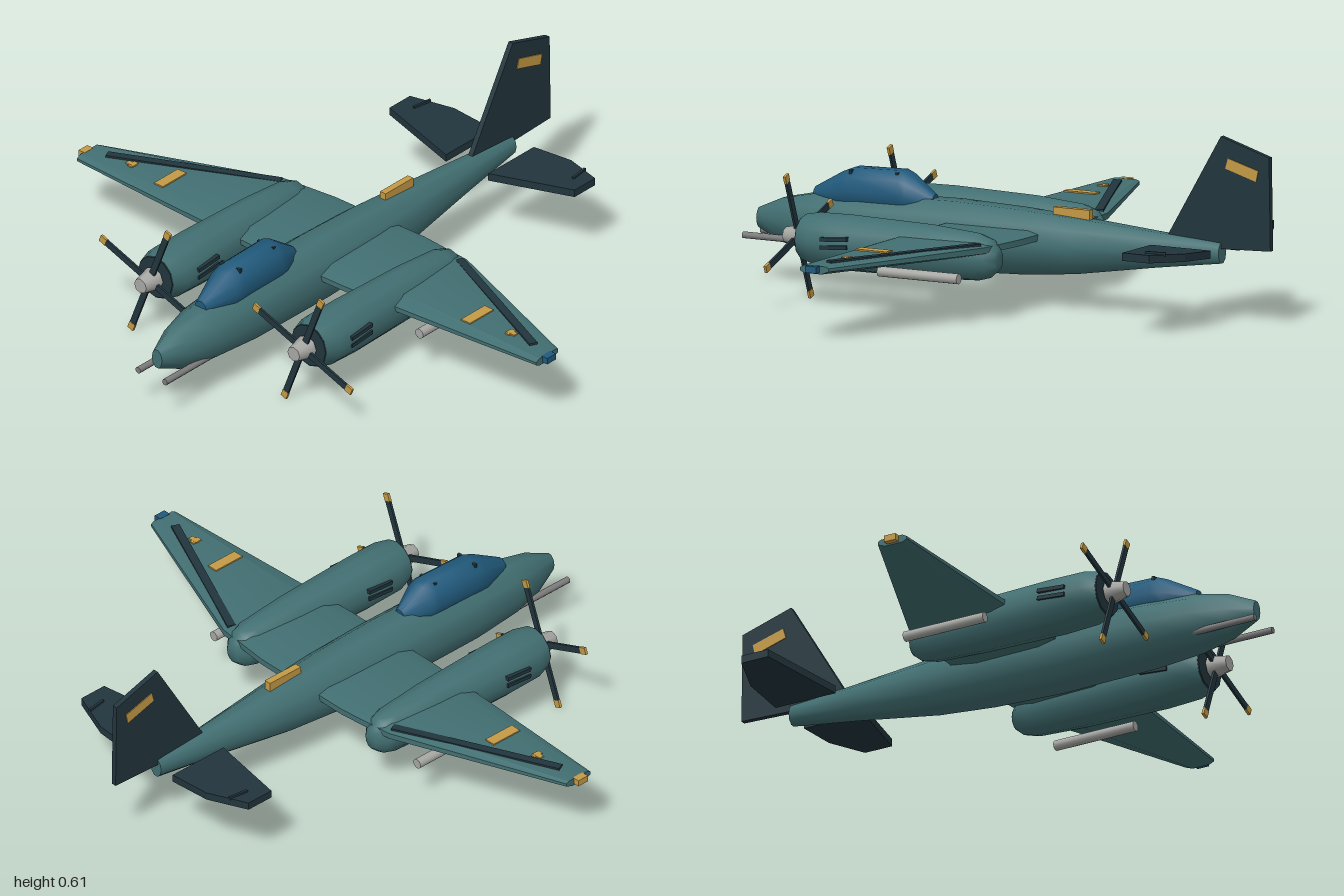
import * as THREE from 'three';
import { toCreasedNormals } from 'three/addons/utils/BufferGeometryUtils.js';

const mat = (name, color) => {
  const m = new THREE.MeshStandardMaterial({ color });
  m.name = name;
  return m;
};

// Closed skin over rings of [x, y, z] points, capped at both ends.
// Rings run counterclockwise as seen from the first end.
function loft(rings, crease) {
  const n = rings[0].length, last = rings.length - 1, pos = rings.flat(2), idx = [];
  for (let i = 0; i < last; i++) {
    for (let j = 0; j < n; j++) {
      const a = i * n + j, b = i * n + (j + 1) % n;
      idx.push(a, a + n, b, b, a + n, b + n);
    }
  }
  for (let j = 1; j < n - 1; j++) {
    idx.push(0, j, j + 1, last * n, last * n + j + 1, last * n + j);
  }
  const g = new THREE.BufferGeometry();
  g.setAttribute('position', new THREE.Float32BufferAttribute(pos, 3));
  g.setIndex(idx);
  return toCreasedNormals(g, crease);
}

// Oval body along z; stations are [z, halfWidth, bottom, top], front first
function body(stations, sides) {
  return loft(stations.map(([z, w, y0, y1]) => Array.from({ length: sides }, (_, j) => {
    const a = (j / sides) * Math.PI * 2;
    return [w * Math.cos(a), (y0 + y1) / 2 + ((y1 - y0) / 2) * Math.sin(a) / Math.sin(Math.PI / 2 - (sides % 4 ? Math.PI / sides : 0)), z];
  })), 0.9);
}

export function createModel() {
  const root = new THREE.Group();
  root.name = 'twinEngineAircraft';
  const teal = mat('teal paint', 0x426f72);
  const dark = mat('dark slate', 0x22353d);
  const gold = mat('gold trim', 0xc49a45);
  const blue = mat('blue glass', 0x215a7c);
  const steel = mat('gun steel', 0x7d7d7d);
  const silver = mat('light metal', 0xa8a8a5);

  const add = (parent, name, geo, material, x = 0, y = 0, z = 0) => {
    const m = new THREE.Mesh(geo, material);
    m.name = name;
    m.position.set(x, y, z);
    parent.add(m);
    return m;
  };
  const box = (w, h, d) => new THREE.BoxGeometry(w, h, d);
  const rod = (r0, r1, len, sides) => new THREE.CylinderGeometry(r0, r1, len, sides).rotateX(Math.PI / 2);

  // Fuselage
  add(root, 'fuselage', body([
    [0.943, 0.022, 0.17, 0.235], [0.85, 0.062, 0.132, 0.275], [0.73, 0.092, 0.112, 0.3],
    [0.55, 0.106, 0.1, 0.315], [0.2, 0.106, 0.095, 0.322], [-0.05, 0.1, 0.105, 0.315],
    [-0.25, 0.084, 0.122, 0.303], [-0.55, 0.05, 0.168, 0.282], [-0.785, 0.025, 0.2, 0.268],
  ], 10), teal);
  add(root, 'dorsalBlock', box(0.024, 0.04, 0.135), gold, 0, 0.312, -0.228);

  // Canopy with frame bars
  add(root, 'canopy', body([
    [0.73, 0.025, 0.27, 0.322], [0.62, 0.064, 0.25, 0.382], [0.58, 0.067, 0.25, 0.398],
    [0.4, 0.067, 0.25, 0.403], [0.37, 0.063, 0.25, 0.39], [0.285, 0.025, 0.27, 0.332],
  ], 10), blue);
  add(root, 'frontCanopyFrame', box(0.084, 0.03, 0.01), dark, 0, 0.378, 0.58);
  add(root, 'rearCanopyFrame', box(0.07, 0.03, 0.01), dark, 0, 0.382, 0.41);

  // Wing in one span; stations are [x, leadingEdge, trailingEdge, centreHeight, thickness]
  const half = [[0.98, 0.212, 0.105, 0.24, 0.026], [0.39, 0.242, -0.125, 0.235, 0.05], [0.19, 0.252, -0.145, 0.234, 0.052]];
  const span = [...half, ...half.slice().reverse().map(([x, ...r]) => [-x, ...r])];
  add(root, 'wing', loft(span.map(([x, le, te, y, t]) => {
    const at = (c, h) => [x, y + h * t, te + (le - te) * c];
    return [at(0.1, 0.5), at(0.85, 0.5), at(1, 0.15), at(1, -0.2), at(0.85, -0.5), at(0.25, -0.5), at(0, -0.1), at(0, 0.3)];
  }), 0.4), teal);

  // Vertical fin, outline drawn in (-z, y)
  const plate = (pts, t) => new THREE.ExtrudeGeometry(
    new THREE.Shape(pts.map((p) => new THREE.Vector2(...p))), { depth: t, bevelEnabled: false }).translate(0, 0, -t / 2);
  const upright = (pts, t) => plate(pts, t).rotateY(Math.PI / 2);
  add(root, 'fin', upright([[0.565, 0.24], [0.97, 0.255], [0.965, 0.56], [0.785, 0.615]], 0.018), dark);
  add(root, 'finStripe', upright([[0.803, 0.512], [0.918, 0.478], [0.926, 0.514], [0.813, 0.546]], 0.024), gold);

  for (const s of [1, -1]) {
    const side = s > 0 ? 'left' : 'right';

    // Tailplane, slightly raised at the tip
    const outline = [[0.09, 0.572], [0.395, 0.645], [0.395, 0.745], [0.25, 0.795], [0.09, 0.795]];
    const tail = plate(outline.map(([x, y]) => [s * x, y]), 0.026).rotateX(-Math.PI / 2);
    const p = tail.attributes.position;
    for (let i = 0; i < p.count; i++) p.setY(i, p.getY(i) + 0.235 + 0.08 * Math.abs(p.getX(i)));
    tail.computeVertexNormals();
    add(root, side + 'Tailplane', tail, dark);
    add(root, side + 'TailTab', box(0.008, 0.012, 0.07), dark, s * 0.335, 0.276, -0.735).rotation.y = s * 0.15;

    // Wing markings, control strip and tip light
    add(root, side + 'WingStripe', box(0.038, 0.009, 0.115), gold, s * 0.655, 0.2568, 0.128).rotation.z = -s * 0.012;
    add(root, side + 'WingMarkLong', box(0.034, 0.009, 0.018), gold, s * 0.812, 0.255, 0.138);
    add(root, side + 'WingMarkShort', box(0.018, 0.008, 0.034), gold, s * 0.805, 0.255, 0.138);
    add(root, side + 'ControlStrip', box(0.584, 0.022, 0.028), dark, s * 0.645, 0.25, 0.023).rotation.y = -s * 0.433;
    add(root, side + 'TipLight', box(0.026, 0.022, 0.042), s > 0 ? blue : gold, s * 0.987, 0.243, 0.16);

    // Underwing tube and nose gun
    add(root, side + 'UnderwingTube', rod(0.017, 0.017, 0.297, 12), silver, s * 0.48, 0.158, 0.063);
    add(root, side + 'NoseGun', rod(0.011, 0.011, 0.26, 10), steel, s * 0.057, 0.15, 0.84);

    // Engine nacelle
    const engine = new THREE.Group();
    engine.name = side + 'Engine';
    engine.position.x = s * 0.327;
    root.add(engine);
    add(engine, 'nacelle', body([
      [0.573, 0.074, 0.14, 0.292], [0.52, 0.092, 0.127, 0.302], [0.4, 0.09, 0.12, 0.304],
      [0.1, 0.077, 0.122, 0.298], [-0.07, 0.067, 0.13, 0.285], [-0.115, 0.055, 0.142, 0.27], [-0.145, 0.026, 0.168, 0.238],
    ], 12), teal);
    add(engine, 'cowlFace', rod(0.073, 0.073, 0.008, 12), dark, 0, 0.217, 0.573);
    for (const e of [1, -1]) {
      for (const y of [0.234, 0.208]) {
        add(engine, 'exhaust', box(0.018, 0.013, 0.1), dark, e * 0.086, y, 0.42).rotation.x = 0.08;
      }
    }

    // Propeller: hub and four gold-tipped blades
    const prop = new THREE.Group();
    prop.name = 'propeller';
    prop.position.set(0, 0.217, 0.604);
    engine.add(prop);
    add(prop, 'shaft', rod(0.02, 0.02, 0.05, 8), silver, 0, 0, -0.02);
    add(prop, 'spinner', rod(0.026, 0.04, 0.066, 8), silver, 0, 0, 0.013);
    for (let k = 0; k < 4; k++) {
      const blade = new THREE.Group();
      blade.name = 'blade';
      blade.rotation.z = THREE.MathUtils.degToRad(-21 + 90 * k);
      prop.add(blade);
      add(blade, 'bladeArm', box(0.022, 0.18, 0.008), dark, 0, 0.11, 0);
      add(blade, 'bladeTip', box(0.024, 0.026, 0.009), gold, 0, 0.211, 0);
    }
  }
  return root;
}
